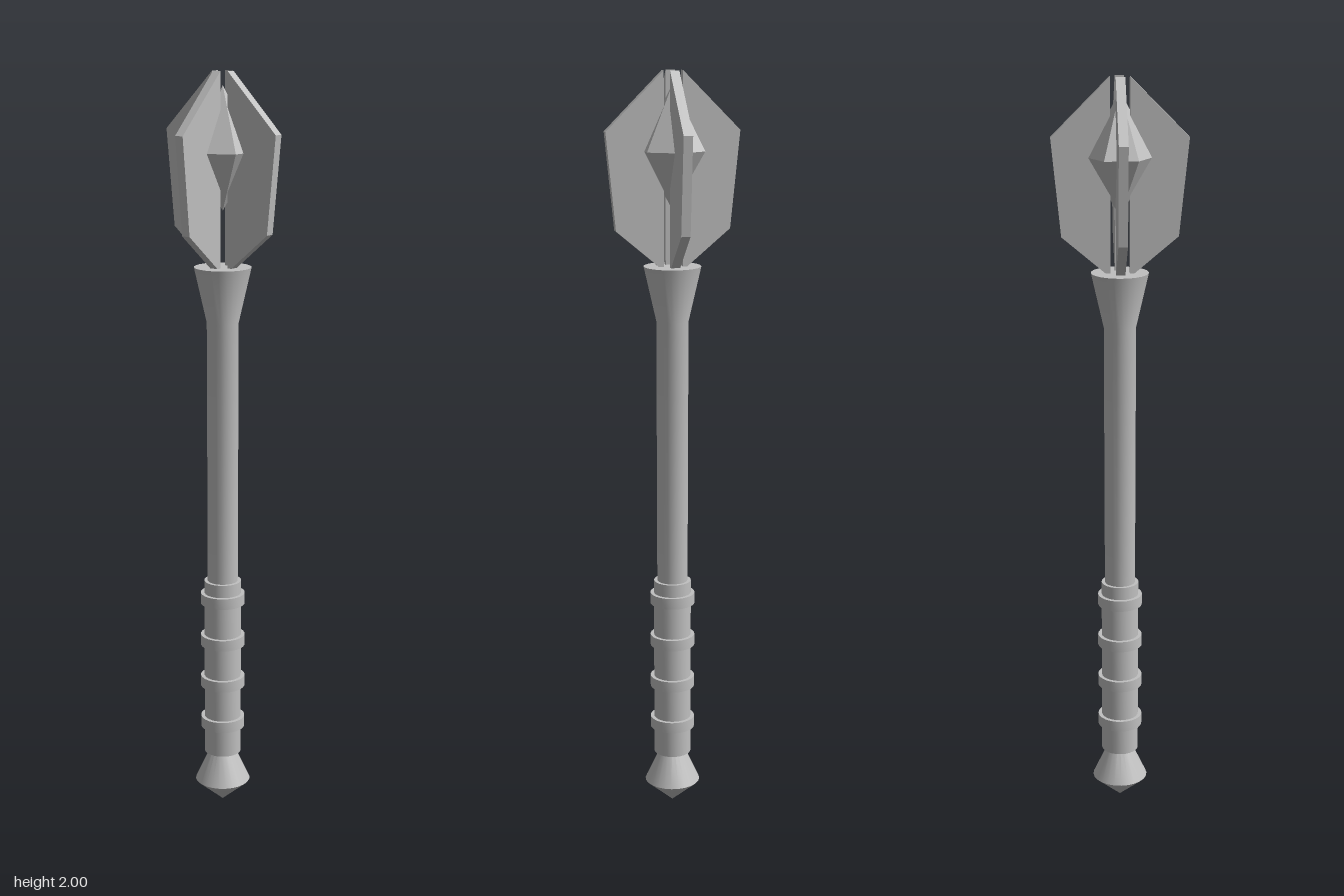
import * as THREE from 'three';
import { toCreasedNormals } from 'three/addons/utils/BufferGeometryUtils.js';

export function createModel() {
  const model = new THREE.Group();
  model.name = 'mace';
  const steel = new THREE.MeshStandardMaterial({ color: 0xc0c0c0 });
  steel.name = 'steel';

  const add = (name, geometry, parent = model) => {
    const mesh = new THREE.Mesh(geometry, steel);
    mesh.name = name;
    parent.add(mesh);
    return mesh;
  };
  // Turned part from [radius, height] pairs listed from bottom to top
  const turned = (name, points, sides = 24, crease = 0.45) => add(name, toCreasedNormals(
    new THREE.LatheGeometry(points.map(([r, y]) => new THREE.Vector2(r, y)), sides), crease));

  // Handle
  turned('pommel', [[0, 0], [0.075, 0.065], [0.036, 0.15], [0, 0.15]]);
  turned('grip', [[0, 0.15], [0.05, 0.15], [0.05, 0.65], [0, 0.65]]);
  turned('shaft', [[0, 0.64], [0.041, 0.64], [0.042, 1.36], [0.075, 1.505], [0, 1.505]]);
  for (const y of [0.24, 0.36, 0.48, 0.6]) {
    turned('gripRing', [[0.048, y - 0.015], [0.06, y - 0.015], [0.06, y + 0.015], [0.048, y + 0.015]]);
  }

  // Six-sided spike floating between the blades, corners on the x axis
  const core = turned('headCore', [[0, 1.65], [0.087, 1.8], [0, 1.965]], 6, 0.1);
  core.rotation.y = Math.PI / 2;

  // Four radial blades
  const outline = new THREE.Shape([[0.025, 1.495], [0.15, 1.6], [0.175, 1.85], [0.025, 2]]
    .map(([x, y]) => new THREE.Vector2(x, y)));
  const thickness = 0.024;
  const bladeGeometry = new THREE.ExtrudeGeometry(outline, { depth: thickness, bevelEnabled: false });
  bladeGeometry.translate(0, 0, -thickness / 2);
  const blades = new THREE.Group();
  blades.name = 'blades';
  model.add(blades);
  for (let i = 0; i < 4; i++) {
    add('blade', bladeGeometry, blades).rotation.y = i * Math.PI / 2;
  }
  return model;
}
